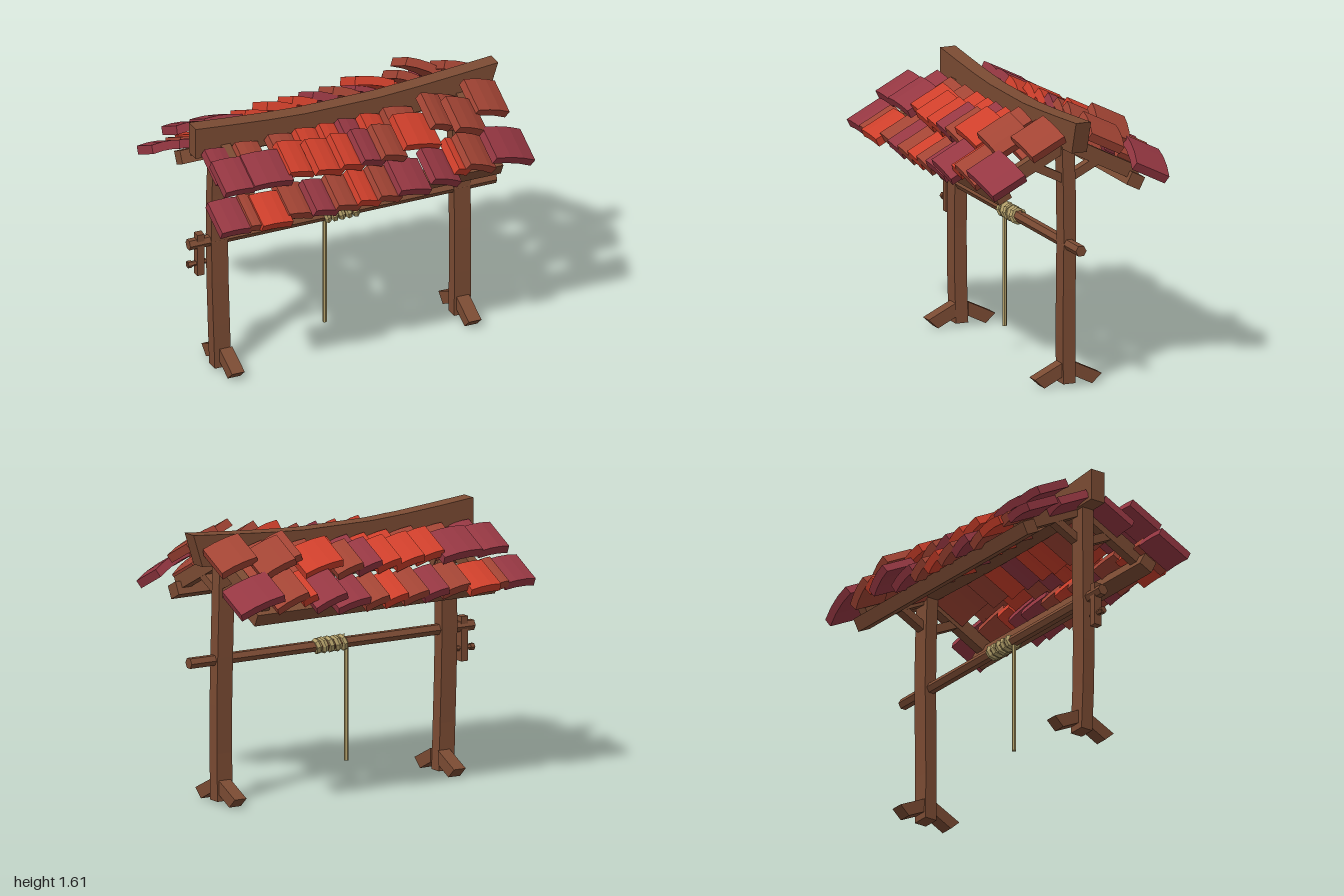
import * as THREE from 'three';

const mat = (name, color) => {
  const m = new THREE.MeshStandardMaterial({ color, flatShading: true });
  m.name = name;
  return m;
};

export function createModel() {
  const wood = mat('wood', 0x7b4b33);
  const plum = mat('plum tile', 0x953742);
  const red = mat('red tile', 0xce3f2b);
  const rust = mat('rust tile', 0xa24434);
  const rope = mat('rope', 0xb09d68);

  const model = new THREE.Group();
  model.name = 'wellRoof';
  const add = (name, geo, material, x = 0, y = 0, z = 0, parent = model) => {
    const m = new THREE.Mesh(geo, material);
    m.name = name;
    m.position.set(x, y, z);
    parent.add(m);
    return m;
  };
  // Extrude a closed outline by depth, centred on the extrusion axis
  const slab = (pts, depth) => {
    const shape = new THREE.Shape(pts.map(p => new THREE.Vector2(...p)));
    return new THREE.ExtrudeGeometry(shape, { depth, bevelEnabled: false }).translate(0, 0, -depth / 2);
  };
  // Move every vertex of a geometry by a rule
  const bend = (geo, rule) => {
    const p = geo.attributes.position;
    const v = new THREE.Vector3();
    for (let i = 0; i < p.count; i++) {
      rule(v.fromBufferAttribute(p, i));
      p.setXYZ(i, v.x, v.y, v.z);
    }
    return geo;
  };
  // Square bar between two points in the z-y plane
  const bar = (name, x, z0, y0, z1, y1, w, h) => {
    const m = add(name, new THREE.BoxGeometry(w, h, Math.hypot(z1 - z0, y1 - y0)), wood,
      x, (y0 + y1) / 2, (z0 + z1) / 2);
    m.rotation.x = -Math.atan2(y1 - y0, z1 - z0);
  };

  for (const side of [-1, 1]) {
    // Gently crooked post
    const post = bend(new THREE.BoxGeometry(0.105, 1.41, 0.078, 1, 5, 1), v => {
      const t = v.y / 1.41 + 0.5;
      v.x += side < 0 ? -0.015 * Math.sin(t * Math.PI) - 0.01 * t : 0.01 * Math.sin(t * Math.PI) - 0.015 * t;
      v.z += 0.004 * Math.sin(t * 6.5) - 0.003;
    });
    add('post', post, wood, side < 0 ? -0.747 : 0.773, 0.725, 0);

    // Feet, rafters and braces on both faces of the post
    for (const s of [-1, 1]) {
      const foot = slab([[0.04, 0.143], [0.04, 0.06], [0.15, 0.005], [0.21, 0.06]], 0.08);
      add('foot', foot, wood, side < 0 ? -0.73 : 0.775, 0, 0).rotation.y = -s * Math.PI / 2;
      const x = side < 0 ? -0.73 : 0.765;
      bar('rafter', x, s * 0.01, 1.44, s * 0.45, 1.215, 0.06, 0.085);
      bar('brace', x, s * 0.02, 1.235, s * 0.22, 1.335, 0.055, 0.05);
    }
  }

  // Sagging ridge beam with a flared end
  const ridge = bend(new THREE.BoxGeometry(1.86, 1, 0.095, 8, 1, 1), v => {
    v.x += 0.01;
    if (v.y > 0) {
      v.y = 1.56 + 0.055 * Math.max(0, (Math.abs(v.x) - 0.25) / 0.68) ** 1.2;
      v.x += 0.07 * Math.max(0, v.x) ** 2;
    } else {
      v.y = 1.405 + 0.02 * v.x * v.x;
    }
  });
  add('ridgeBeam', ridge, wood, 0, 0, -0.013);

  // Eave beams
  for (const s of [-1, 1]) {
    add('eaveBeam', new THREE.BoxGeometry(1.65, 0.08, 0.09), wood, 0.005, 1.185, s * 0.42).rotation.x = s * 0.47;
  }

  // Tile rows: edges between tiles, one colour letter per tile (- is a gap),
  // height and depth of the row, rise towards the left end, tiles slid up the slope
  const rows = [
    { name: 'lowerTile', colours: 'pdrdpdrdpprdp', y: 1.25, z: 0.472, rise: 0.07, slide: { 2: -0.02, 3: 0.025, 9: -0.04 },
      edges: [-1, -0.82, -0.75, -0.57, -0.41, -0.27, -0.13, 0, 0.13, 0.32, 0.49, 0.56, 0.73, 0.98] },
    { name: 'middleTile', colours: 'pprrrpdrddd', y: 1.425, z: 0.33, rise: 0.065, slide: { 2: 0.04, 8: 0.1, 10: 0.13 },
      edges: [-0.91, -0.73, -0.49, -0.33, -0.17, -0.04, 0.09, 0.23, 0.45, 0.56, 0.74, 0.94] },
    { name: 'upperTile', colours: 'p-d-drrprd-d', y: 1.405, z: 0.155, rise: 0.02, slide: {},
      edges: [-0.88, -0.76, -0.69, -0.55, -0.48, -0.31, -0.16, -0.04, 0.1, 0.25, 0.43, 0.55, 0.73] },
  ];
  const palette = { p: plum, r: red, d: rust };
  const roof = new THREE.Group();
  roof.name = 'roofTiles';
  model.add(roof);
  for (const { name, colours, y, z, rise, slide, edges } of rows) {
    [...colours].forEach((c, i) => {
      if (c === '-') return;
      const x = (edges[i] + edges[i + 1]) / 2;
      const span = edges[i + 1] - edges[i];
      // Narrow tiles lean more, tucking under their neighbour
      const roll = 0.24 + 0.2 * x + (span < 0.18 ? 0.13 : -0.02);
      const w = (span + 0.015) / Math.cos(roll);
      // Slightly arched slab
      const geo = bend(new THREE.BoxGeometry(w, 0.052, 0.23, 3, 1, 1), v => {
        v.y += 0.008 - 0.2 * v.x * v.x / w;
      });
      const up = slide[i] || 0;
      const height = y + rise * THREE.MathUtils.smoothstep(x, 0.15, 0.52) + up * 0.1;
      for (const s of [-1, 1]) {
        add(name, geo, palette[c], x, height, s * (z - up), roof).rotation.set(s * 0.47, 0, -roll);
      }
    });
  }

  // Winch axle with crank and handle
  add('axle', new THREE.CylinderGeometry(0.034, 0.034, 1.95, 6), wood, 0.022, 0.85, 0).rotation.z = Math.PI / 2;
  add('crankArm', new THREE.BoxGeometry(0.045, 0.265, 0.05), wood, -0.882, 0.778, 0);
  add('crankHandle', new THREE.CylinderGeometry(0.016, 0.016, 0.12, 6), wood, -0.9, 0.72, 0).rotation.z = Math.PI / 2;
  add('handleKnob', new THREE.CylinderGeometry(0.022, 0.022, 0.025, 6), wood, -0.945, 0.72, 0).rotation.z = Math.PI / 2;

  // Rope wound around the axle and hanging down
  const steps = 40;
  const coil = [];
  for (let i = 0; i <= steps; i++) {
    const a = i / 8 * Math.PI * 2;
    coil.push(new THREE.Vector3(-0.092 + 0.225 * i / steps, 0.85 + 0.031 * Math.cos(a), 0.004 + 0.031 * Math.sin(a)));
  }
  add('ropeCoil', new THREE.TubeGeometry(new THREE.CatmullRomCurve3(coil), steps, 0.021, 6), rope);
  add('hangingRope', new THREE.CylinderGeometry(0.013, 0.013, 0.68, 6), rope, -0.085, 0.49, 0);

  return model;
}
